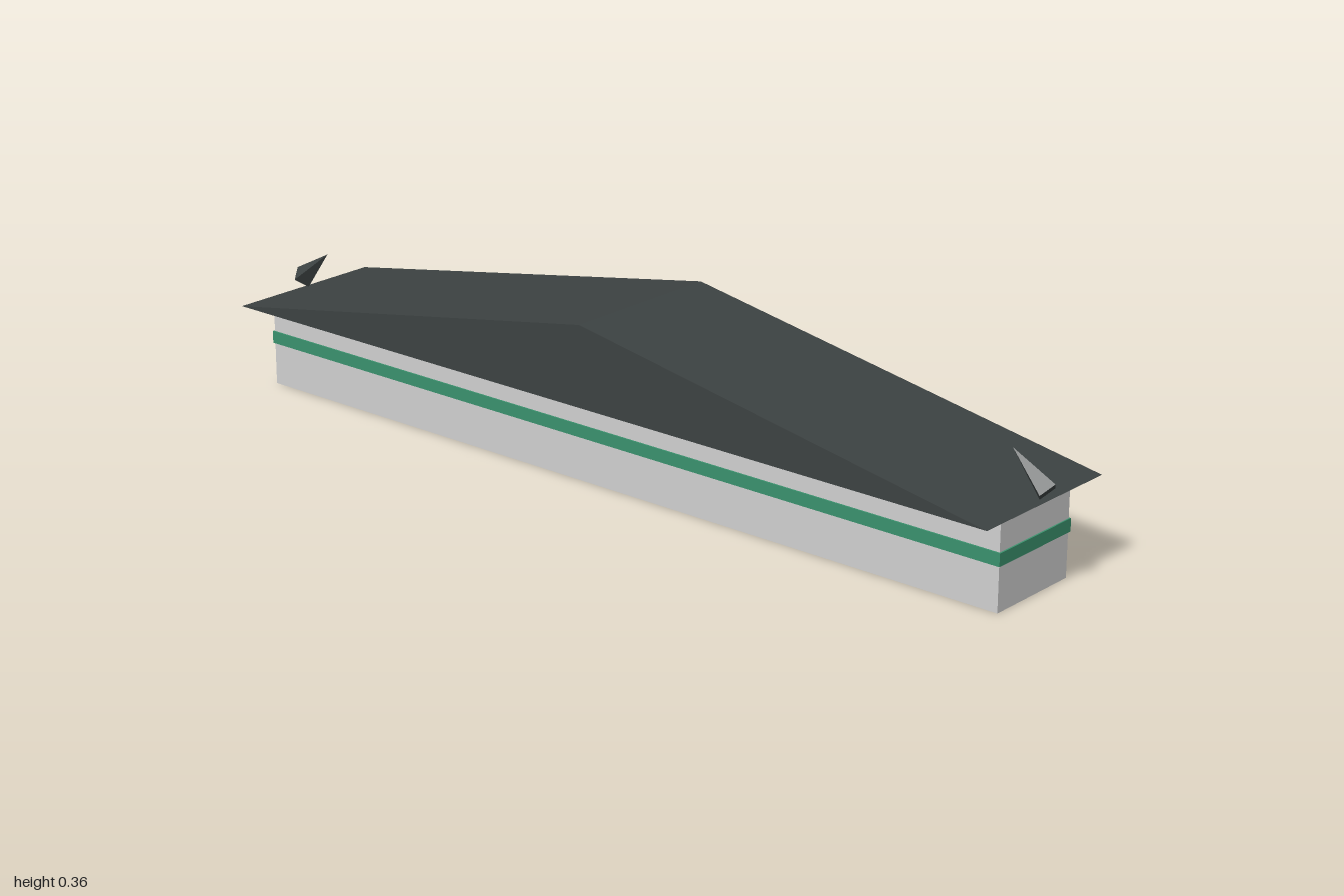
import * as THREE from 'three';

export function createModel() {
  const model = new THREE.Group();
  const mat = (name, color) => {
    const m = new THREE.MeshStandardMaterial({ color });
    m.name = name;
    return m;
  };
  const wallGrey = mat('wall grey', 0xcfcfcf);
  const bandGreen = mat('band green', 0x3a916d);
  const roofSlate = mat('roof slate', 0x3c4242);

  const add = (name, geometry, material, x = 0, y = 0, z = 0) => {
    const mesh = new THREE.Mesh(geometry, material);
    mesh.name = name;
    mesh.position.set(x, y, z);
    model.add(mesh);
    return mesh;
  };

  // Long wall block with a thin band wrapped around it
  add('wall', new THREE.BoxGeometry(1.92, 0.191, 0.222), wallGrey, 0, 0.0955, 0);
  add('band', new THREE.BoxGeometry(1.926, 0.027, 0.229), bandGreen, 0, 0.107, 0);

  // Low gabled roof, ridge running front to back
  const gable = new THREE.Shape([
    new THREE.Vector2(-0.981, 0.191),
    new THREE.Vector2(0.981, 0.191),
    new THREE.Vector2(0, 0.364),
  ]);
  const roof = new THREE.ExtrudeGeometry(gable, { depth: 0.37, bevelEnabled: false });
  add('roof', roof, roofSlate, 0, 0, -0.185);

  // Four-sided spikes at the eaves, leaning in and up
  const spike = new THREE.ConeGeometry(0.0255, 0.105, 4).toNonIndexed();
  spike.computeVertexNormals();
  for (const [name, side] of [['leftEaveSpike', 1], ['rightEaveSpike', -1]]) {
    add(name, spike, roofSlate, side * 0.944, 0.2458, 0).rotation.z = side * 0.863;
  }
  return model;
}
